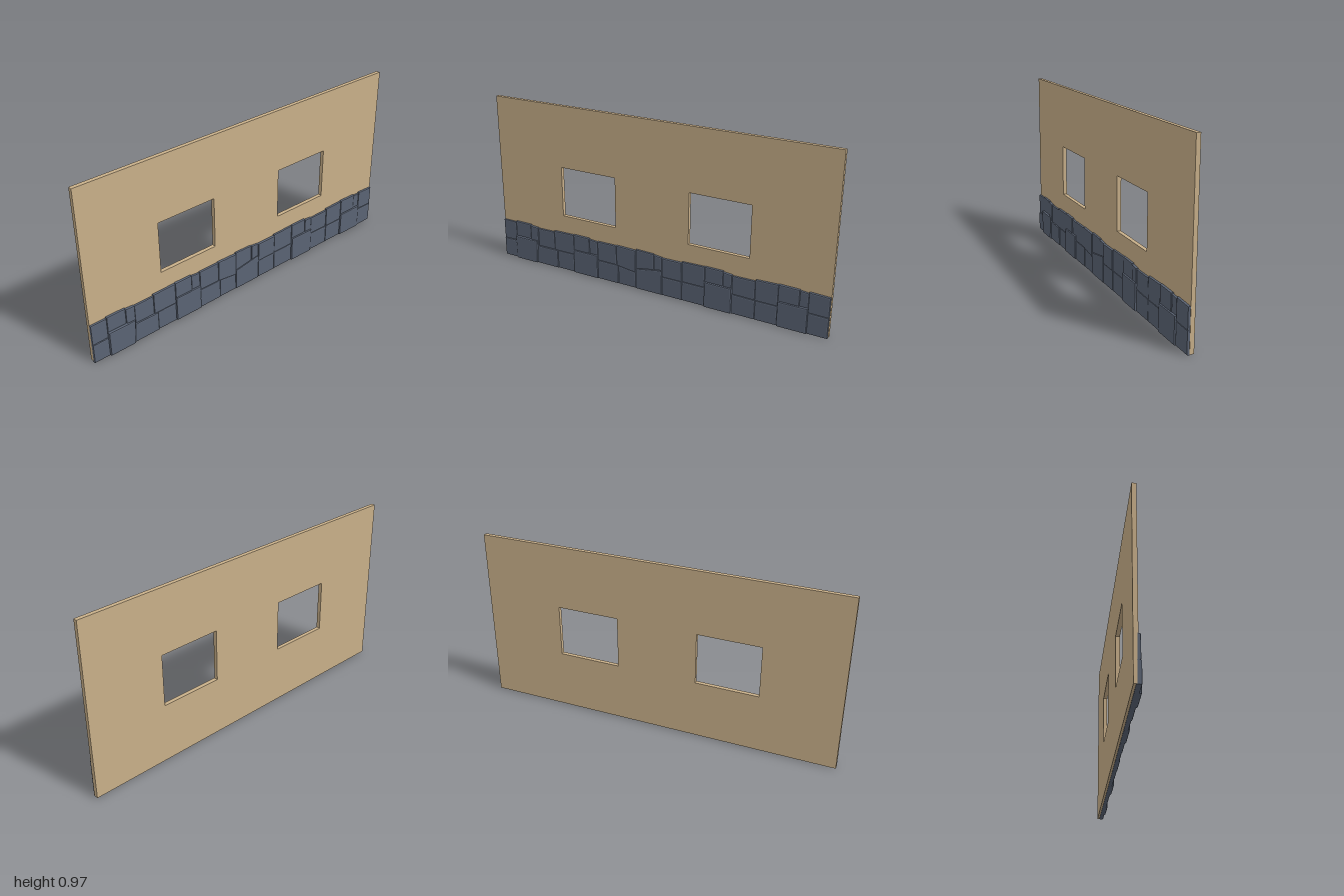
import * as THREE from 'three';

const wallMat = new THREE.MeshStandardMaterial({ color: 0xc8af89 });
wallMat.name = 'tan plaster';
const stoneMat = new THREE.MeshStandardMaterial({ color: 0x5a6373 });
stoneMat.name = 'slate stone';

function polygon(points) {
  return new THREE.Shape(points.map(([x, y]) => new THREE.Vector2(x, y)));
}

function rect(x0, x1, y0, y1) {
  return polygon([[x0, y0], [x1, y0], [x1, y1], [x0, y1]]);
}

// Plaster wall with two window openings
function makeWall() {
  const shape = rect(-1, 1, 0.003, 0.972);
  shape.holes.push(rect(-0.572, -0.225, 0.332, 0.62), rect(0.22, 0.566, 0.332, 0.62));
  const geo = new THREE.ExtrudeGeometry(shape, { depth: 0.022, bevelEnabled: false });
  geo.translate(0, 0, -0.022);
  const wall = new THREE.Mesh(geo, wallMat);
  wall.name = 'wall';
  return wall;
}

// One chamfered stone; its base fills the outline and its face is smaller
function makeStone(points, back, front, name) {
  const bevel = 0.006;
  const geo = new THREE.ExtrudeGeometry(polygon(points), {
    depth: front - back - 2 * bevel, bevelEnabled: true, bevelSegments: 2,
    bevelSize: bevel, bevelOffset: -bevel, bevelThickness: bevel,
  });
  geo.translate(0, 0, back + bevel);
  const stone = new THREE.Mesh(geo, stoneMat);
  stone.name = name;
  return stone;
}

// Lower course: right edge, top left height, top right height, front depth
const LOWER = [
  [-0.91, 0.108, 0.11, 0.014], [-0.755, 0.14, 0.14, 0.023], [-0.615, 0.11, 0.11, 0.016],
  [-0.5, 0.11, 0.11, 0.012], [-0.34, 0.14, 0.14, 0.018], [-0.205, 0.113, 0.112, 0.013],
  [-0.093, 0.11, 0.096, 0.011], [0.07, 0.12, 0.147, 0.014], [0.19, 0.11, 0.11, 0.012],
  [0.325, 0.11, 0.11, 0.011], [0.48, 0.145, 0.145, 0.019], [0.61, 0.113, 0.11, 0.012],
  [0.732, 0.11, 0.11, 0.012], [0.89, 0.14, 0.14, 0.019], [0.998, 0.117, 0.115, 0.013],
];

// Upper course: right edge, top left height, top right height
const UPPER = [
  [-0.91, 0.226, 0.226], [-0.803, 0.232, 0.231], [-0.75, 0.226, 0.222],
  [-0.635, 0.219, 0.22], [-0.5, 0.228, 0.23], [-0.395, 0.233, 0.232],
  [-0.34, 0.227, 0.222], [-0.215, 0.226, 0.227], [-0.093, 0.23, 0.227],
  [0.02, 0.234, 0.231], [0.07, 0.228, 0.222], [0.19, 0.22, 0.221],
  [0.325, 0.227, 0.23], [0.43, 0.232, 0.231], [0.48, 0.226, 0.221],
  [0.608, 0.217, 0.218], [0.732, 0.227, 0.23], [0.843, 0.233, 0.231],
  [0.89, 0.227, 0.222], [0.998, 0.23, 0.226],
];

// Height of the lower course at x
function lowerTop(x) {
  let x0 = -1;
  for (const [x1, left, right] of LOWER) {
    if (x <= x1) return THREE.MathUtils.lerp(left, right, (x - x0) / (x1 - x0));
    x0 = x1;
  }
  return 0.115;
}

function makeStoneBase() {
  const base = new THREE.Group();
  base.name = 'stoneBase';
  let x0 = -1;
  LOWER.forEach(([x1, left, right, front], i) => {
    // the joint after the second stone leans
    const leanL = i === 2 ? -0.01 : 0;
    const leanR = i === 1 ? -0.01 : 0;
    base.add(makeStone(
      [[x0 + leanL, 0], [x1 + leanR, 0], [x1, right], [x0, left]],
      -0.012, front, 'lowerStone'));
    x0 = x1;
  });
  x0 = -1;
  UPPER.forEach(([x1, left, right], i) => {
    base.add(makeStone(
      [[x0, lowerTop(x0 + 0.001)], [x1, lowerTop(x1 - 0.001)], [x1, right], [x0, left]],
      -0.01, 0.011 + (i % 3) * 0.0015, 'upperStone'));
    x0 = x1;
  });
  return base;
}

export function createModel() {
  const model = new THREE.Group();
  model.name = 'wallWithStoneBase';
  model.add(makeWall(), makeStoneBase());
  return model;
}
